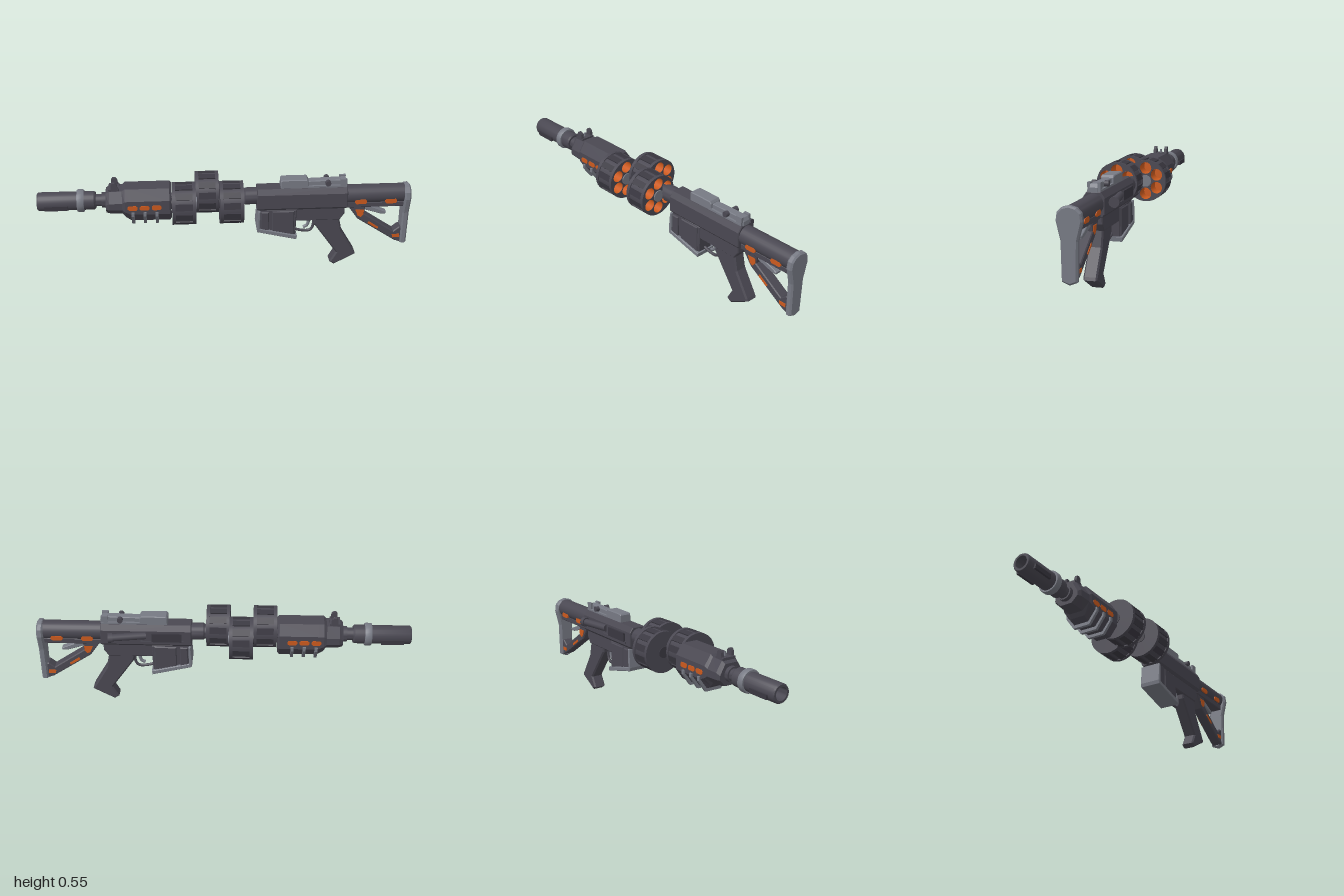
import * as THREE from 'three';
import { toCreasedNormals } from 'three/addons/utils/BufferGeometryUtils.js';

const AXIS = 0.43; // height of the bore line
const mat = (color, side = THREE.FrontSide) => new THREE.MeshStandardMaterial({ color, side });
const DARK = mat(0x4a4852), DARKER = mat(0x3a3841), LIGHT = mat(0x777a84);
const ORANGE = mat(0xcc5a1e), ORANGE_IN = mat(0xcc5a1e, THREE.DoubleSide);

export function createModel() {
  const root = new THREE.Group();
  const add = (name, geo, material = DARK, parent = root) => {
    const mesh = new THREE.Mesh(geo, material);
    mesh.name = name;
    parent.add(mesh);
    return mesh;
  };
  const shapeOf = (pts) => new THREE.Shape(pts.map((p) => new THREE.Vector2(p[0], p[1])));
  const extrude = (shape, depth, bevel = 0) => new THREE.ExtrudeGeometry(shape, {
    depth: depth - 2 * bevel, bevelEnabled: bevel > 0, bevelSize: bevel, bevelThickness: bevel,
    bevelOffset: -bevel, bevelSegments: 1, curveSegments: 24,
  }).translate(0, 0, bevel);
  // side profile in x,y extruded to a half width about z
  const side = (name, pts, half, material, bevel = 0, z = 0) =>
    add(name, extrude(shapeOf(pts), half * 2, bevel).translate(0, 0, z - half), material);
  // cross-section in z,y extruded from x0 to x1
  const section = (name, shape, x0, x1, material, bevel = 0) =>
    add(name, extrude(shape, x1 - x0, bevel).rotateY(Math.PI / 2).translate(x0, 0, 0), material);
  const box = (name, x0, x1, y0, y1, z0, z1, material) =>
    add(name, new THREE.BoxGeometry(x1 - x0, y1 - y0, z1 - z0)
      .translate((x0 + x1) / 2, (y0 + y1) / 2, (z0 + z1) / 2), material);
  // turned part along x from [x, radius] points
  const turned = (name, pts, material, y = AXIS, z = 0) =>
    add(name, toCreasedNormals(new THREE.LatheGeometry(
      pts.map(([x, r]) => new THREE.Vector2(r, x)), 28).rotateZ(-Math.PI / 2), 0.6)
      .translate(0, y, z), material);
  const rod = (name, x0, x1, r, material, y = AXIS, z = 0) =>
    turned(name, [[x0, 0], [x0, r], [x1, r], [x1, 0]], material, y, z);
  // flat capsule accent on both flanks
  const slots = (name, x0, x1, y0, y1, z) => {
    const c = 0.008;
    const pts = [[x0 + c, y0], [x1 - c, y0], [x1, y0 + c], [x1, y1 - c], [x1 - c, y1], [x0 + c, y1], [x0, y1 - c], [x0, y0 + c]];
    for (const s of [-1, 1]) side(name, pts, 0.004, ORANGE, 0, s * z);
  };
  const mirrored = (half) => [...half, ...half.slice().reverse().map(([z, y]) => [-z, y])];

  // Muzzle, hollow at the front
  turned('muzzleTube', [[-0.86, 0], [-0.86, 0.034], [-1, 0.034], [-1, 0.045], [-0.992, 0.05],
    [-0.7, 0.05], [-0.692, 0.044], [-0.692, 0]], DARK);
  turned('muzzleRing', [[-0.79, 0.05], [-0.79, 0.058], [-0.783, 0.061], [-0.76, 0.061], [-0.753, 0.058], [-0.753, 0.05]], LIGHT);
  for (const s of [-1, 1]) box('muzzleRail', -0.96, -0.84, 0.4, 0.425, s * 0.051 - 0.006, s * 0.051 + 0.006, DARKER);
  rod('barrelNeck', -0.7, -0.6, 0.033, DARK);
  rod('neckCollar', -0.66, -0.625, 0.041, DARK);

  // Handguard lofted through octagonal sections [x, halfWidth, top, bottom]
  const stations = [[-0.637, 0.068, 0.485, 0.372], [-0.617, 0.078, 0.498, 0.368], [-0.55, 0.08, 0.5, 0.366],
    [-0.535, 0.085, 0.512, 0.345], [-0.505, 0.085, 0.512, 0.325], [-0.3, 0.085, 0.512, 0.322], [-0.29, 0.078, 0.504, 0.332]];
  const pos = [], idx = [];
  for (const [x, w, t, b] of stations) {
    const half = [[w * 0.5, b], [w, b + (t - b) * 0.3], [w, t - 0.055], [w * 0.55, t]];
    for (const [z, y] of mirrored(half)) pos.push(x, y, z);
  }
  const last = (stations.length - 1) * 8;
  for (let i = 0; i < last; i += 8) for (let j = 0; j < 8; j++) {
    const a = i + j, b = i + (j + 1) % 8;
    idx.push(a, a + 8, b, b, a + 8, b + 8);
  }
  for (let j = 1; j < 7; j++) idx.push(0, j, j + 1, last, last + j + 1, last + j);
  // wind outwards
  for (let i = 0; i < idx.length; i += 3) [idx[i + 1], idx[i + 2]] = [idx[i + 2], idx[i + 1]];
  const loft = new THREE.BufferGeometry();
  loft.setAttribute('position', new THREE.Float32BufferAttribute(pos, 3));
  loft.setIndex(idx);
  const guard = loft.toNonIndexed();
  guard.computeVertexNormals();
  // flip if the enclosed volume came out negative
  const p = guard.attributes.position, A = new THREE.Vector3(), B = A.clone(), C = A.clone();
  let volume = 0;
  for (let i = 0; i < p.count; i += 3) {
    A.fromBufferAttribute(p, i); B.fromBufferAttribute(p, i + 1); C.fromBufferAttribute(p, i + 2);
    volume += A.dot(B.cross(C));
  }
  if (volume < 0) {
    for (let i = 0; i < p.count; i += 3) {
      B.fromBufferAttribute(p, i + 1); C.fromBufferAttribute(p, i + 2);
      p.setXYZ(i + 1, C.x, C.y, C.z); p.setXYZ(i + 2, B.x, B.y, B.z);
    }
    guard.computeVertexNormals();
  }
  add('handguard', guard, DARK);
  for (const x of [-0.495, -0.432, -0.368]) {
    slots('handguardAccent', x - 0.026, x + 0.026, 0.406, 0.432, 0.085);
    const hoop = mirrored([[0.048, 0.307], [0.094, 0.372], [0.094, 0.394]]);
    section('gripRib', shapeOf(hoop), x - 0.008, x + 0.008, LIGHT);
  }

  // Front sight
  box('sightBase', -0.62, -0.565, 0.49, 0.51, -0.04, 0.04, DARK);
  for (const s of [-1, 1]) side('sightEar', [[-0.61, 0.5], [-0.57, 0.5], [-0.575, 0.535], [-0.585, 0.545], [-0.6, 0.545], [-0.606, 0.535]], 0.008, DARK, 0, s * 0.032);
  box('sightPost', -0.594, -0.586, 0.5, 0.53, -0.005, 0.005, LIGHT);

  // Three staggered drums, open towards the stock
  [[-0.287, 0.063], [-0.161, -0.062], [-0.036, 0.063]].forEach(([x, z]) => {
    const drum = new THREE.Group();
    drum.name = 'drum';
    drum.position.set(x, AXIS, z);
    root.add(drum);
    const len = 0.126;
    const face = new THREE.Shape().absarc(0, 0, 0.107, 0, Math.PI * 2);
    const centres = [0, 1, 2, 3, 4, 5].map((i) => [Math.sin(i * Math.PI / 3) * 0.07, Math.cos(i * Math.PI / 3) * 0.07]);
    for (const [a, b] of centres) face.holes.push(new THREE.Path().absarc(a, b, 0.032, 0, Math.PI * 2, true));
    add('drumBody', toCreasedNormals(extrude(face, len - 0.016).rotateY(Math.PI / 2).translate(0.016, 0, 0), 0.6), DARK, drum);
    const disc = (r, x0, x1) => new THREE.CylinderGeometry(r, r, x1 - x0, 40).rotateZ(-Math.PI / 2).translate((x0 + x1) / 2, 0, 0);
    add('drumBack', disc(0.113, 0, 0.018), DARK, drum);
    add('drumHub', disc(0.032, len - 0.01, len + 0.006), LIGHT, drum);
    add('drumBoss', disc(0.03, -0.004, 0.01), DARKER, drum);
    const ring = new THREE.Shape().absarc(0, 0, 0.113, 0, Math.PI * 2);
    ring.holes.push(new THREE.Path().absarc(0, 0, 0.1055, 0, Math.PI * 2, true));
    add('drumRim', toCreasedNormals(extrude(ring, 0.018).rotateY(Math.PI / 2).translate(len - 0.018, 0, 0), 0.6), DARK, drum);
    for (const [a, b] of centres) {
      add('chamberWall', new THREE.CylinderGeometry(0.0318, 0.0318, 0.085, 24, 1, true)
        .rotateZ(-Math.PI / 2).translate(len - 0.0435, b, -a), ORANGE_IN, drum);
      add('chamberFloor', new THREE.CircleGeometry(0.032, 24).rotateY(Math.PI / 2).translate(len - 0.085, b, -a), ORANGE_IN, drum);
    }
    for (let i = 0; i < 12; i++) {
      add('drumRib', new THREE.BoxGeometry(0.09, 0.008, 0.034).translate(len / 2, 0.108, 0)
        .rotateX((i + 0.5) * Math.PI / 6), DARKER, drum);
    }
  });
  rod('barrelCore', -0.3, 0.1, 0.03, DARK);
  turned('rearBarrel', [[0.085, 0], [0.085, 0.04], [0.1, 0.04], [0.105, 0.046], [0.18, 0.046], [0.18, 0]], DARK);

  // Receiver
  section('upperReceiver', shapeOf(mirrored([[0.045, 0.362], [0.056, 0.375], [0.056, 0.455], [0.036, 0.484]])), 0.168, 0.656, DARK, 0.004);
  side('lowerReceiver', [[0.19, 0.37], [0.19, 0.3], [0.375, 0.3], [0.385, 0.288], [0.62, 0.288], [0.645, 0.325], [0.645, 0.37]], 0.042, DARK, 0.005);
  box('portCover', 0.22, 0.38, 0.395, 0.445, -0.066, -0.05, DARKER);
  box('portRail', 0.21, 0.44, 0.385, 0.397, -0.063, -0.05, DARK);
  // Angled bolt assist on the far flank
  const assist = new THREE.Group();
  assist.name = 'boltAssist';
  assist.position.set(0.5, AXIS, -0.07);
  assist.rotation.y = 0.16;
  root.add(assist);
  const bar = (r, l, x) => new THREE.CylinderGeometry(r, r, l, 10).rotateZ(Math.PI / 2).translate(x, 0, 0);
  add('assistBody', bar(0.02, 0.18, 0), DARK, assist);
  add('assistKnob', bar(0.027, 0.025, 0.1), DARK, assist);

  // Top rail and rear sight
  side('railBlock', [[0.295, 0.478], [0.445, 0.478], [0.445, 0.52], [0.435, 0.532], [0.303, 0.532], [0.295, 0.524]], 0.034, LIGHT, 0.004);
  side('railRear', [[0.44, 0.478], [0.655, 0.478], [0.655, 0.505], [0.645, 0.523], [0.44, 0.518]], 0.022, LIGHT, 0.003);
  box('railFoot', 0.44, 0.65, 0.478, 0.494, -0.034, 0.034, LIGHT);
  for (const s of [-1, 1]) {
    add('railKnob', new THREE.CylinderGeometry(0.015, 0.015, 0.022, 16).rotateX(Math.PI / 2).translate(0.548, 0.51, s * 0.033), DARK);
    box('rearSightEar', 0.615, 0.65, 0.49, 0.53, s * 0.026 - 0.007, s * 0.026 + 0.007, LIGHT);
  }

  // Magazine with a light guard along the front and base
  side('magazineWell', [[0.18, 0.37], [0.172, 0.25], [0.38, 0.2], [0.385, 0.36]], 0.046, DARK, 0.005);
  side('magazineSides', [[0.19, 0.355], [0.186, 0.25], [0.232, 0.24], [0.232, 0.355]], 0.057, DARK, 0.005);
  side('magazineRib', [[0.25, 0.355], [0.25, 0.235], [0.37, 0.208], [0.37, 0.355]], 0.052, DARK, 0.005);
  side('magazineFrame', [[0.174, 0.36], [0.166, 0.255], [0.17, 0.235], [0.384, 0.183], [0.388, 0.206], [0.184, 0.255], [0.186, 0.36]], 0.06, LIGHT, 0.003);

  // Trigger and its guard
  const curve = (name, pts, r, material) => add(name, new THREE.TubeGeometry(
    new THREE.CatmullRomCurve3(pts.map(([x, y]) => new THREE.Vector3(x, y, 0)), false, 'centripetal'), 20, r, 8), material);
  curve('triggerGuard', [[0.38, 0.22], [0.4, 0.212], [0.46, 0.207], [0.478, 0.225], [0.488, 0.295]], 0.008, DARK);
  curve('trigger', [[0.452, 0.295], [0.456, 0.265], [0.448, 0.24], [0.428, 0.228]], 0.009, LIGHT);

  // Pistol grip
  side('grip', [[0.478, 0.3], [0.482, 0.262], [0.612, 0.078], [0.58, 0.018], [0.606, 0], [0.722, 0.064], [0.715, 0.08], [0.638, 0.21], [0.618, 0.3]]
    .map(([x, y]) => [x, y]), 0.036, DARK, 0.008);

  // Stock tube, strut frame and butt plate
  rod('stockTube', 0.65, 0.975, 0.051, DARK, 0.426);
  for (const x of [0.73, 0.893]) slots('tubeAccent', x - 0.032, x + 0.032, 0.386, 0.412, 0.047);
  side('stockSpine', [[0.655, 0.39], [0.97, 0.39], [0.97, 0.358], [0.655, 0.358]], 0.036, DARK, 0.004);
  const frame = shapeOf([[0.66, 0.37], [0.76, 0.37], [0.755, 0.315], [0.925, 0.2], [0.955, 0.225], [0.972, 0.225], [0.972, 0.128], [0.935, 0.142], [0.72, 0.285]]);
  add('stockStrut', extrude(frame, 0.06, 0.005).translate(0, 0, -0.03), DARK);
  side('strutAccent', [[0.705, 0.342], [0.752, 0.342], [0.752, 0.315], [0.738, 0.296], [0.72, 0.305]], 0.033, ORANGE);
  side('diagonalAccent', [[0.785, 0.268], [0.84, 0.23], [0.834, 0.22], [0.779, 0.256]], 0.033, ORANGE);
  side('lowerAccent', [[0.918, 0.182], [0.96, 0.182], [0.96, 0.162], [0.924, 0.162]], 0.033, ORANGE);
  side('stockLever', [[0.755, 0.362], [0.8, 0.35], [0.878, 0.318], [0.875, 0.305], [0.85, 0.305], [0.755, 0.335]], 0.018, LIGHT, 0.003);
  const butt = mirrored([[0, 0.115], [0.038, 0.13], [0.042, 0.32], [0.064, 0.41], [0.058, 0.45], [0.035, 0.473], [0, 0.482]]).filter(([z], i) => !(Object.is(z, -0)));
  section('buttPlate', shapeOf(butt), 0.965, 1, LIGHT, 0.008);
  return root;
}
